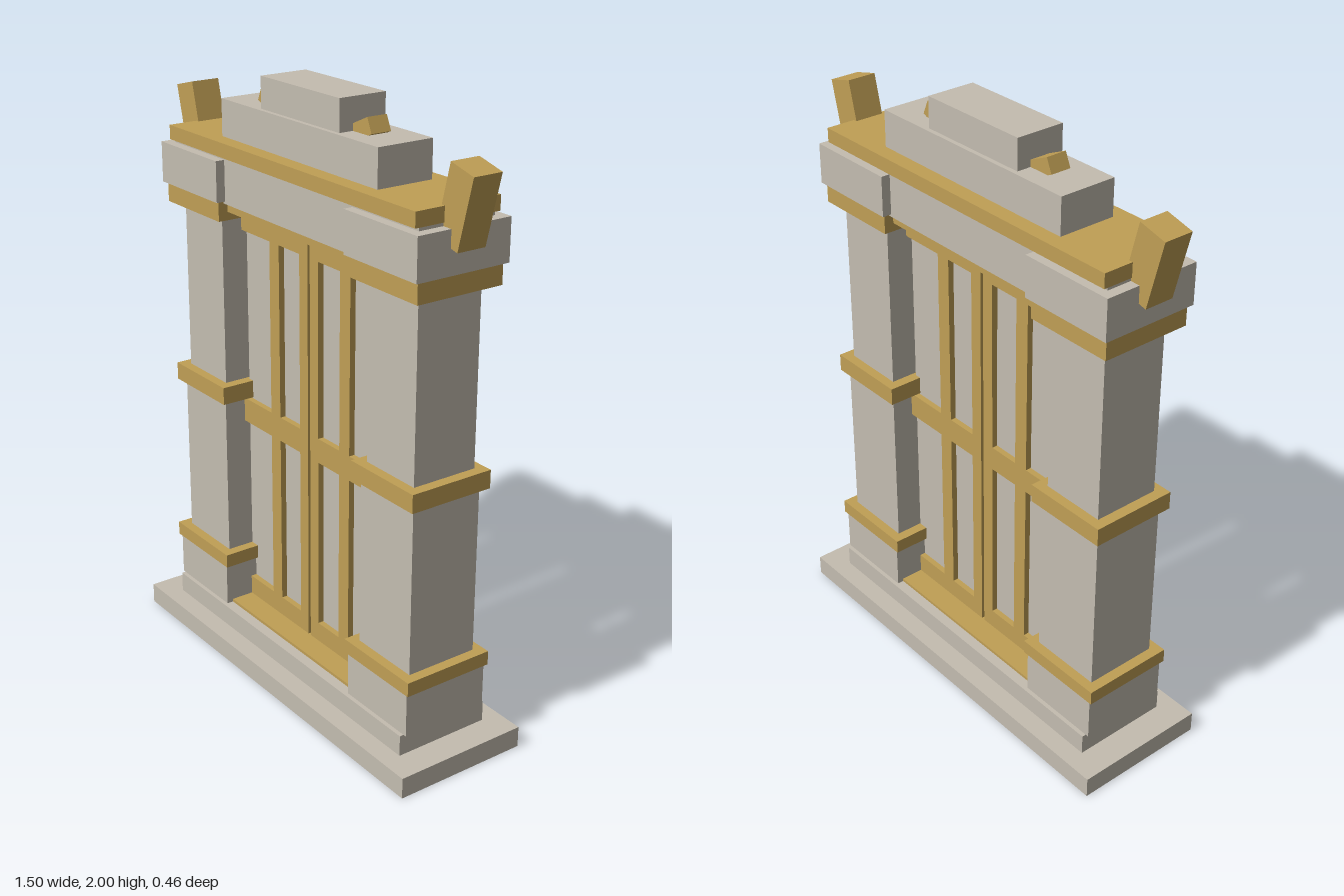
import * as THREE from 'three';

const stone = new THREE.MeshStandardMaterial({ color: 0xc4bdb0 });
stone.name = 'warm grey stone';
const gold = new THREE.MeshStandardMaterial({ color: 0xc09f55 });
gold.name = 'antique gold';

export function createModel() {
  const model = new THREE.Group();
  model.name = 'doorway';

  // Box spanning x0..x1 and y0..y1, centred on z = 0
  function block(parent, name, material, x0, x1, y0, y1, depth) {
    const mesh = new THREE.Mesh(new THREE.BoxGeometry(x1 - x0, y1 - y0, depth), material);
    mesh.position.set((x0 + x1) / 2, (y0 + y1) / 2, 0);
    mesh.name = name;
    parent.add(mesh);
    return mesh;
  }
  const centred = (name, material, width, y0, y1, depth) =>
    block(model, name, material, -width / 2, width / 2, y0, y1, depth);

  // Stepped base and threshold
  centred('basePlinth', stone, 1.466, 0, 0.07, 0.464);
  centred('baseStep', stone, 1.27, 0.07, 0.14, 0.332);
  centred('threshold', gold, 0.72, 0.14, 0.15, 0.26);

  // Lintel, cornice and stepped crown
  centred('doorHeadTrim', gold, 0.78, 1.55, 1.585, 0.24);
  centred('lintel', stone, 1.26, 1.58, 1.733, 0.27);
  centred('cornice', gold, 1.268, 1.733, 1.78, 0.302);
  centred('crownLower', stone, 0.8, 1.78, 1.9, 0.196);
  centred('crownUpper', stone, 0.4, 1.9, 2, 0.166);

  // Pillar sections: name, material, width, bottom, top, depth
  const sections = [
    ['pillarFoot', stone, 0.294, 0.14, 0.288, 0.304],
    ['pillarLowerBand', gold, 0.318, 0.288, 0.335, 0.316],
    ['pillarLowerShaft', stone, 0.248, 0.335, 0.89, 0.25],
    ['pillarMiddleBand', gold, 0.294, 0.89, 0.95, 0.294],
    ['pillarUpperShaft', stone, 0.222, 0.95, 1.522, 0.228],
    ['pillarUpperBand', gold, 0.308, 1.522, 1.588, 0.306],
    ['pillarCapital', stone, 0.33, 1.588, 1.722, 0.332],
  ];

  for (const side of [-1, 1]) {
    const label = side > 0 ? 'left' : 'right';

    const pillar = new THREE.Group();
    pillar.name = label + 'Pillar';
    pillar.position.x = side * 0.499;
    for (const [name, mat, w, y0, y1, d] of sections) block(pillar, name, mat, -w / 2, w / 2, y0, y1, d);
    model.add(pillar);

    // Door leaf: thin panel with raised rails and stiles on both faces
    const door = new THREE.Group();
    door.name = label + 'Door';
    const span = (name, mat, a, b, y0, y1, d) =>
      block(door, name, mat, Math.min(side * a, side * b), Math.max(side * a, side * b), y0, y1, d);
    span('doorPanel', stone, 0.008, 0.374, 0.15, 1.55, 0.06);
    for (const [y0, y1] of [[0.145, 0.217], [0.803, 0.886], [1.472, 1.547]])
      span('doorRail', gold, 0.006, 0.375, y0, y1, 0.1);
    for (const [a, b] of [[0.006, 0.05], [0.162, 0.214]])
      for (const [y0, y1] of [[0.217, 0.803], [0.886, 1.472]])
        span('doorStile', gold, a, b, y0, y1, 0.1);
    model.add(door);

    // Outward-leaning horn on the cornice end
    const horn = block(model, label + 'CorniceHorn', gold, -0.049, 0.049, -0.114, 0.114, 0.1);
    horn.position.set(side * 0.672, 1.783, 0);
    horn.rotation.z = -side * 0.25;

    // Tilted scroll block beside the crown
    const scroll = block(model, label + 'CrownScroll', gold, -0.06, 0.06, -0.025, 0.025, 0.07);
    scroll.position.set(side * 0.223, 1.905, 0);
    scroll.rotation.z = side * 0.42;
  }
  return model;
}
